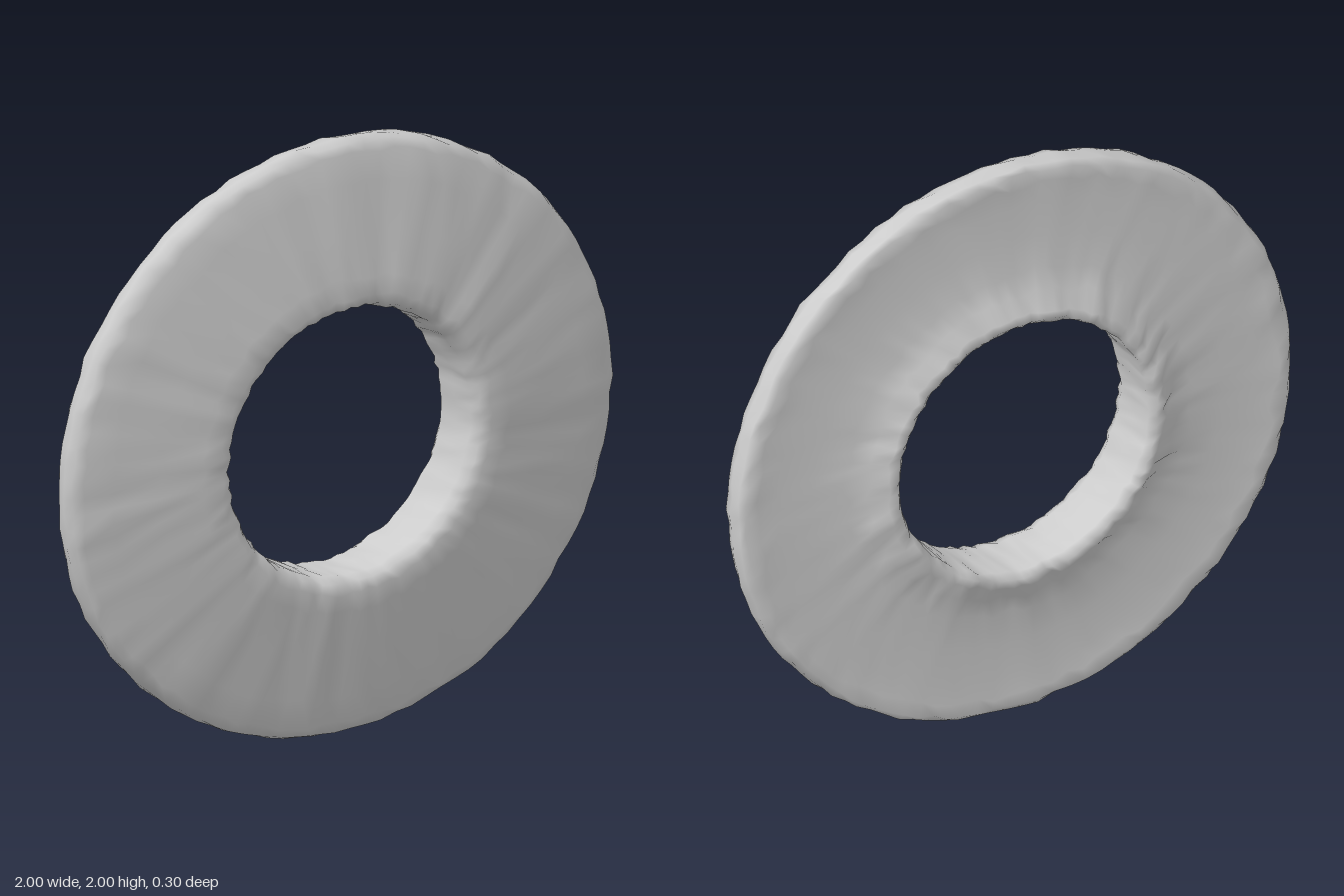
import * as THREE from 'three';
import { mergeVertices } from 'three/addons/utils/BufferGeometryUtils.js';

const SEGMENTS = 110;

// Cross-section loop: radius, depth (+ is front), radial roughness, depth roughness
const PROFILE = [
  [0.445, 0.0, 0.006, 0.0],
  [0.447, -0.085, 0.007, 0.006],
  [0.465, -0.104, 0.008, 0.008],
  [0.495, -0.1, 0.012, 0.009],
  [0.55, -0.07, 0.02, 0.008],
  [0.62, -0.052, 0.02, 0.003],
  [0.74, -0.043, 0.0, 0.001],
  [0.86, -0.041, 0.01, 0.001],
  [0.93, -0.044, 0.018, 0.004],
  [0.975, -0.047, 0.01, 0.006],
  [0.992, -0.03, 0.007, 0.007],
  [0.997, 0.01, 0.005, 0.006],
  [0.988, 0.04, 0.007, 0.006],
  [0.955, 0.056, 0.014, 0.006],
  [0.86, 0.072, 0.01, 0.005],
  [0.7, 0.096, 0.01, 0.005],
  [0.56, 0.118, 0.012, 0.005],
  [0.495, 0.124, 0.012, 0.007],
  [0.462, 0.112, 0.007, 0.007],
  [0.447, 0.08, 0.006, 0.005],
  [0.445, 0.0, 0.006, 0.0],
];

// Small seeded generator giving values from -1 to 1
function seeded(seed) {
  let s = seed;
  return () => {
    s = (s * 16807) % 2147483647;
    return (s / 2147483647) * 2 - 1;
  };
}

function makeRing() {
  const geometry = new THREE.LatheGeometry(
    PROFILE.map(([r, d]) => new THREE.Vector2(r, d)), SEGMENTS);
  geometry.rotateX(Math.PI / 2);
  geometry.deleteAttribute('normal');
  geometry.deleteAttribute('uv');

  // Each spoke of the ring has its own pleat, plus a little roughness per point
  const random = seeded(4711);
  const pleats = Array.from({ length: SEGMENTS }, random);
  const rough = Array.from({ length: SEGMENTS },
    () => PROFILE.map(() => [random(), random()]));
  const last = PROFILE.length - 1;
  const pos = geometry.attributes.position;

  for (let i = 0; i < pos.count; i++) {
    const spoke = Math.floor(i / PROFILE.length) % SEGMENTS;
    const k = (i % PROFILE.length) % last;
    const [r0, d0, radial, depth] = PROFILE[k];
    const [a, b] = rough[spoke][k];
    const angle = (spoke / SEGMENTS) * Math.PI * 2;
    const r = Math.min(1, r0 + radial * a * 0.8);
    const d = d0 + depth * (0.6 * pleats[spoke] + 0.5 * b);
    const x = r * Math.sin(angle);
    const y = -r * Math.cos(angle);
    // Slight lean of the whole disc
    pos.setXYZ(i, x, y + 1, d + 0.0525 * x + 0.0375 * y - 0.018);
  }

  const welded = mergeVertices(geometry, 1e-5);
  welded.computeVertexNormals();
  return welded;
}

export function createModel() {
  const model = new THREE.Group();
  model.name = 'roughRing';
  const ring = new THREE.Mesh(makeRing(),
    new THREE.MeshStandardMaterial({ color: 0xcccccc }));
  ring.name = 'ring';
  model.add(ring);
  return model;
}
